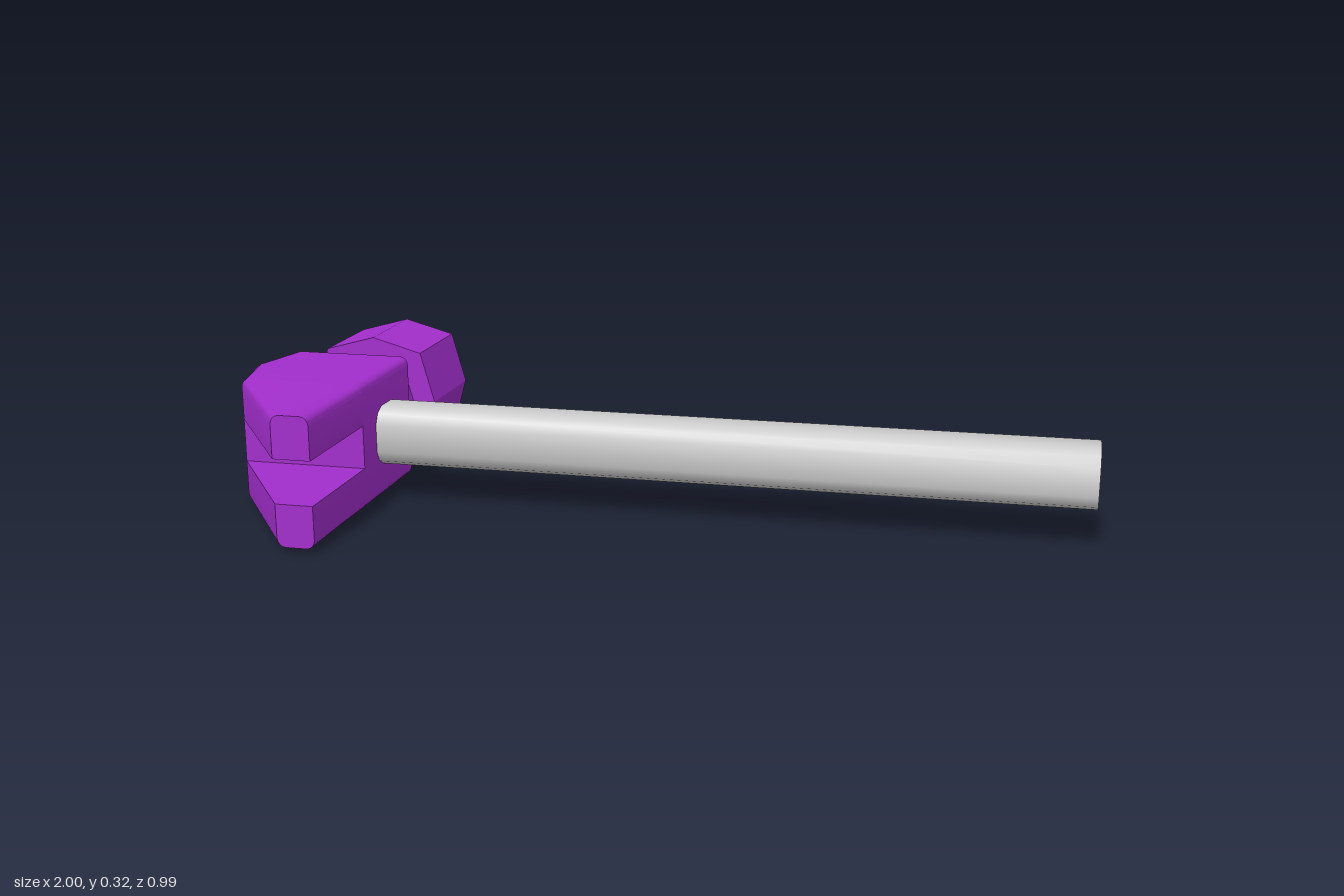
import * as THREE from 'three';
import { toCreasedNormals } from 'three/addons/utils/BufferGeometryUtils.js';

const purple = new THREE.MeshStandardMaterial({ color: 0xa22ecc });
const grey = new THREE.MeshStandardMaterial({ color: 0xcccccc });
const MID_Y = 0.162;

// Skin a row of convex loops (counter-clockwise seen from +z, z rising) and cap both ends
function loft(loops, zs, crease) {
  const pos = [];
  const tri = (...pts) => pts.forEach((p) => pos.push(...p));
  const rings = loops.map((loop, k) => loop.map(([x, y]) => [x, y, zs[k]]));
  const n = rings[0].length;
  for (let k = 0; k < rings.length - 1; k++) {
    const a = rings[k], b = rings[k + 1];
    for (let i = 0; i < n; i++) {
      const j = (i + 1) % n;
      tri(a[i], a[j], b[j]);
      tri(a[i], b[j], b[i]);
    }
  }
  const first = rings[0], last = rings[rings.length - 1];
  for (let i = 1; i < n - 1; i++) {
    tri(first[0], first[i + 1], first[i]);
    tri(last[0], last[i], last[i + 1]);
  }
  const geo = new THREE.BufferGeometry();
  geo.setAttribute('position', new THREE.Float32BufferAttribute(pos, 3));
  return toCreasedNormals(geo, crease);
}

// Rectangle whose bottom and top corners can each be rounded
function section(x0, x1, y0, y1, rBottom, rTop) {
  const pts = [];
  const corner = (cx, cy, r, start) => {
    const steps = r > 0 ? 4 : 0;
    for (let s = 0; s <= steps; s++) {
      const a = start + (steps ? (s / steps) * Math.PI / 2 : 0);
      pts.push([cx + r * Math.cos(a), cy + r * Math.sin(a)]);
    }
  };
  corner(x0 + rBottom, y0 + rBottom, rBottom, Math.PI);
  corner(x1 - rBottom, y0 + rBottom, rBottom, 1.5 * Math.PI);
  corner(x1 - rTop, y1 - rTop, rTop, 0);
  corner(x0 + rTop, y1 - rTop, rTop, Math.PI / 2);
  return pts;
}

// Eight-sided bulging square
function octagon(cx, cy, axis, diag) {
  return [[axis, 0], [diag, diag], [0, axis], [-diag, diag],
    [-axis, 0], [-diag, -diag], [0, -axis], [diag, -diag]].map(([x, y]) => [cx + x, cy + y]);
}

function createModel() {
  const model = new THREE.Group();
  const add = (name, geo, material) => {
    const mesh = new THREE.Mesh(geo, material);
    mesh.name = name;
    model.add(mesh);
  };

  // Head block, bulging outwards on the side away from the handle
  const right = -0.667, low = 0.012, high = 0.312, r = 0.02;
  const block = [[-0.967, -0.105], [-1, 0.04], [-0.965, 0.195]];
  add('headBlock', loft(block.map(([x]) => section(x, right, low, high, r, r)),
    block.map((p) => p[1]), 0.45), purple);

  // Two tapering claw prongs with a slot between them
  const claw = [[-0.965, 0.195], [-0.755, 0.495]];
  const prong = (name, y0, y1, rb, rt) => add(name,
    loft(claw.map(([x]) => section(x, right, y0, y1, rb, rt)), claw.map((p) => p[1]), 0.45), purple);
  prong('upperProng', 0.213, high, 0, r);
  prong('lowerProng', low, 0.111, r, 0);

  // Neck and striking face
  const cx = -0.815;
  const bar = (name, axis, diag, z0, z1) => {
    const loop = octagon(cx, MID_Y, axis, diag);
    add(name, loft([loop, loop], [z0, z1], 0.3), purple);
  };
  bar('neck', 0.104, 0.081, -0.25, -0.105);
  bar('strikingFace', 0.161, 0.126, -0.495, -0.25);

  // Handle with softened square cross-section, turned to run along x
  const quarter = [[0.071, 0.033], [0.058, 0.058], [0.033, 0.071]];
  const loop = [];
  for (let q = 0; q < 4; q++) {
    const c = [1, 0, -1, 0][q], s = [0, 1, 0, -1][q];
    quarter.forEach(([x, y]) => loop.push([c * x - s * y, s * x + c * y + MID_Y]));
  }
  const handle = loft([loop, loop], [-0.69, 1], 0.8);
  handle.rotateY(Math.PI / 2).translate(0, 0, 0.045);
  add('handle', handle, grey);

  return model;
}

export { createModel };
